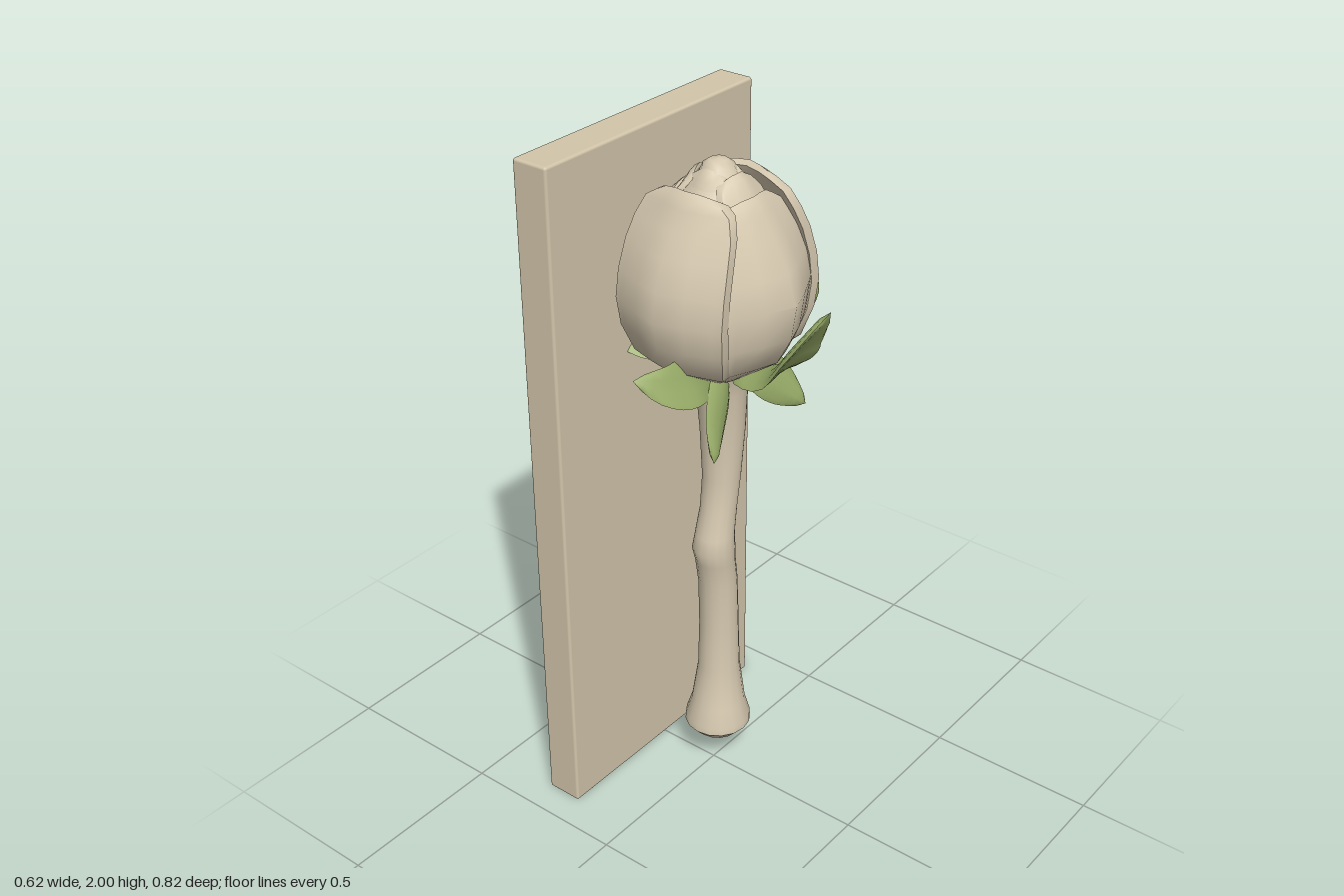
import * as THREE from 'three';
import { toCreasedNormals } from 'three/addons/utils/BufferGeometryUtils.js';
import { RoundedBoxGeometry } from 'three/addons/geometries/RoundedBoxGeometry.js';

const V = (x, y, z) => new THREE.Vector3(x, y, z);

// Skin a list of closed loops that run right-handed around the direction of travel.
function loft(rings, crease = 0.9) {
  const n = rings[0].length;
  const index = [];
  for (let i = 0; i < rings.length - 1; i++) {
    for (let j = 0; j < n; j++) {
      const a = i * n + j, b = i * n + (j + 1) % n;
      index.push(a, b, b + n, a, b + n, a + n);
    }
  }
  const geometry = new THREE.BufferGeometry().setFromPoints(rings.flat());
  geometry.setIndex(index);
  return toCreasedNormals(geometry, crease);
}

// Cupped petal facing +z. Rows: [height, distance, half width, fold depth].
function petalGeometry(rows, thickness) {
  const us = [-1, -0.85, -0.45, 0, 0.45, 0.85, 1];
  const rings = rows.map(([y, r, w, sag], i) => {
    const t = i === rows.length - 1 ? 0 : thickness;
    const point = (u, inset) => V(w * u * (1 - inset * 0.5),
      y - (i > rows.length - 3 ? 0.012 * u * u : 0), r - inset - sag * Math.abs(u) ** 1.2);
    return [...us.map(u => point(u, 0)), ...us.slice().reverse().map(u => point(u, t))];
  });
  return loft(rings, 0.8);
}

// Thin leaf along a path, widened along the side vector.
function sepalGeometry(points, side, width) {
  const curve = new THREE.CatmullRomCurve3(points);
  const rings = [];
  for (let i = 0; i <= 12; i++) {
    const t = i / 12;
    const c = curve.getPoint(t), tangent = curve.getTangent(t);
    const s = side.clone().addScaledVector(tangent, -side.dot(tangent)).normalize();
    const n = tangent.clone().cross(s);
    const w = width * Math.sin(Math.PI * Math.pow(t, 0.85)) ** 0.8 + 0.012 * (1 - t ** 6);
    const end = i === 0 || i === 12 ? 0 : 1;
    const ring = [];
    for (let k = 0; k < 10; k++) {
      const a = k / 10 * Math.PI * 2;
      ring.push(c.clone().addScaledVector(s, end * w * Math.cos(a))
        .addScaledVector(n, end * (0.01 * Math.sin(a) + w * 0.2 * Math.cos(a) ** 2)));
    }
    rings.push(ring);
  }
  return loft(rings, 1.2);
}

export function createModel() {
  const model = new THREE.Group();
  const cream = new THREE.MeshStandardMaterial({ name: 'cream', color: 0xd6c9b0 });
  const tan = new THREE.MeshStandardMaterial({ name: 'tan', color: 0xd2c5aa });
  const green = new THREE.MeshStandardMaterial({ name: 'leaf green', color: 0x98ac68 });
  const add = (name, geometry, material, parent = model) => {
    const mesh = new THREE.Mesh(geometry, material);
    mesh.name = name;
    parent.add(mesh);
    return mesh;
  };

  // Backing board
  add('board', new RoundedBoxGeometry(0.11, 2, 0.82, 2, 0.008), tan).position.set(-0.245, 1, 0);

  // Gently bent stem with a flared foot: [height, radius, z of centre]
  const stemRows = [[0.09, 0, -0.02], [0.092, 0.035, -0.02], [0.11, 0.065, -0.02], [0.145, 0.098, -0.02],
    [0.165, 0.097, -0.02], [0.22, 0.08, -0.022], [0.35, 0.062, -0.025], [0.5, 0.058, -0.025],
    [0.65, 0.057, -0.02], [0.73, 0.058, -0.008], [0.775, 0.062, 0], [0.82, 0.057, -0.005],
    [0.9, 0.053, -0.022], [1.0, 0.055, -0.036], [1.15, 0.064, -0.04], [1.28, 0.072, -0.036],
    [1.36, 0.085, -0.03], [1.42, 0.12, -0.025]];
  add('stem', loft(stemRows.map(([y, r, z]) => Array.from({ length: 16 }, (_, k) => {
    const a = k / 16 * Math.PI * 2;
    return V(r * Math.cos(a), y, z - r * Math.sin(a));
  })), 0.7), cream);

  // Bud
  const bud = new THREE.Group();
  bud.name = 'bud';
  bud.position.z = -0.02;
  model.add(bud);

  const core = [[0, 1.355], [0.08, 1.36], [0.15, 1.43], [0.19, 1.55], [0.18, 1.67], [0.14, 1.79],
    [0.095, 1.86], [0.055, 1.895], [0.042, 1.925], [0.025, 1.937], [0, 1.94]];
  add('budCore', new THREE.LatheGeometry(core.map(p => new THREE.Vector2(...p)), 10), cream, bud);

  const broadPetal = petalGeometry([[1.35, 0.07, 0.05, 0.01], [1.365, 0.12, 0.085, 0.02],
    [1.42, 0.21, 0.148, 0.04], [1.5, 0.254, 0.168, 0.055], [1.58, 0.269, 0.174, 0.06],
    [1.66, 0.258, 0.172, 0.06], [1.74, 0.226, 0.165, 0.052], [1.8, 0.19, 0.154, 0.042],
    [1.85, 0.16, 0.133, 0.032], [1.88, 0.147, 0.105, 0.025], [1.892, 0.132, 0.08, 0.02]], 0.03);
  const sidePetal = petalGeometry([[1.35, 0.07, 0.05, 0.01], [1.365, 0.12, 0.09, 0.025],
    [1.42, 0.195, 0.15, 0.055], [1.5, 0.238, 0.175, 0.08], [1.6, 0.253, 0.18, 0.085],
    [1.68, 0.225, 0.175, 0.07], [1.76, 0.182, 0.155, 0.05], [1.82, 0.145, 0.125, 0.035],
    [1.85, 0.125, 0.1, 0.025], [1.862, 0.11, 0.08, 0.02]], 0.025);
  const innerPetal = petalGeometry([[1.7, 0.18, 0.12, 0.04], [1.79, 0.145, 0.1, 0.035],
    [1.86, 0.105, 0.08, 0.03], [1.9, 0.078, 0.06, 0.02], [1.912, 0.06, 0.04, 0.012]], 0.02);
  const heartPetal = petalGeometry([[1.75, 0.14, 0.09, 0.04], [1.84, 0.1, 0.075, 0.03],
    [1.895, 0.065, 0.055, 0.02], [1.918, 0.05, 0.04, 0.014], [1.926, 0.038, 0.026, 0.01]], 0.015);
  for (let k = 0; k < 2; k++) {
    const petals = [['broadPetal', broadPetal, 0], ['sidePetal', sidePetal, 0.5],
      ['innerPetal', innerPetal, 0.5], ['heartPetal', heartPetal, 0]];
    for (const [name, geometry, turn] of petals) {
      add(name, geometry, cream, bud).rotation.y = Math.PI * (k + turn);
    }
  }

  // Sepals: two at the sides, two spreading front and back, two drooping
  const sideSepal = sepalGeometry([V(0.05, 1.35, -0.01), V(0.19, 1.395, -0.03), V(0.252, 1.48, -0.045),
    V(0.31, 1.575, -0.09)], V(0, 0, 1), 0.095);
  add('rightSepal', sideSepal, green).name = 'leftSepal';
  const opposite = add('rightSepal', sideSepal, green);
  opposite.rotation.y = Math.PI;
  opposite.position.y = 0.02;
  add('frontSepal', sepalGeometry([V(0.01, 1.35, 0.03), V(0.05, 1.39, 0.15), V(0.045, 1.41, 0.24),
    V(0, 1.45, 0.33)], V(0.45, -0.88, 0), 0.056), green);
  add('backSepal', sepalGeometry([V(0.02, 1.35, -0.07), V(0.06, 1.385, -0.2), V(0.085, 1.415, -0.29),
    V(0.07, 1.48, -0.38)], V(-0.45, -0.88, 0), 0.056), green);
  for (const s of [1, -1]) {
    const z = d => -0.035 + s * d;
    add(s > 0 ? 'frontDroopingSepal' : 'backDroopingSepal', sepalGeometry([V(0.03, 1.36, z(0.03)),
      V(0.075, 1.315, z(0.09)), V(0.105, 1.25, z(0.15)), V(0.135, 1.18, z(0.205))],
    V(0.15, 0.6 * s, 0.75), 0.058), green);
  }
  return model;
}
